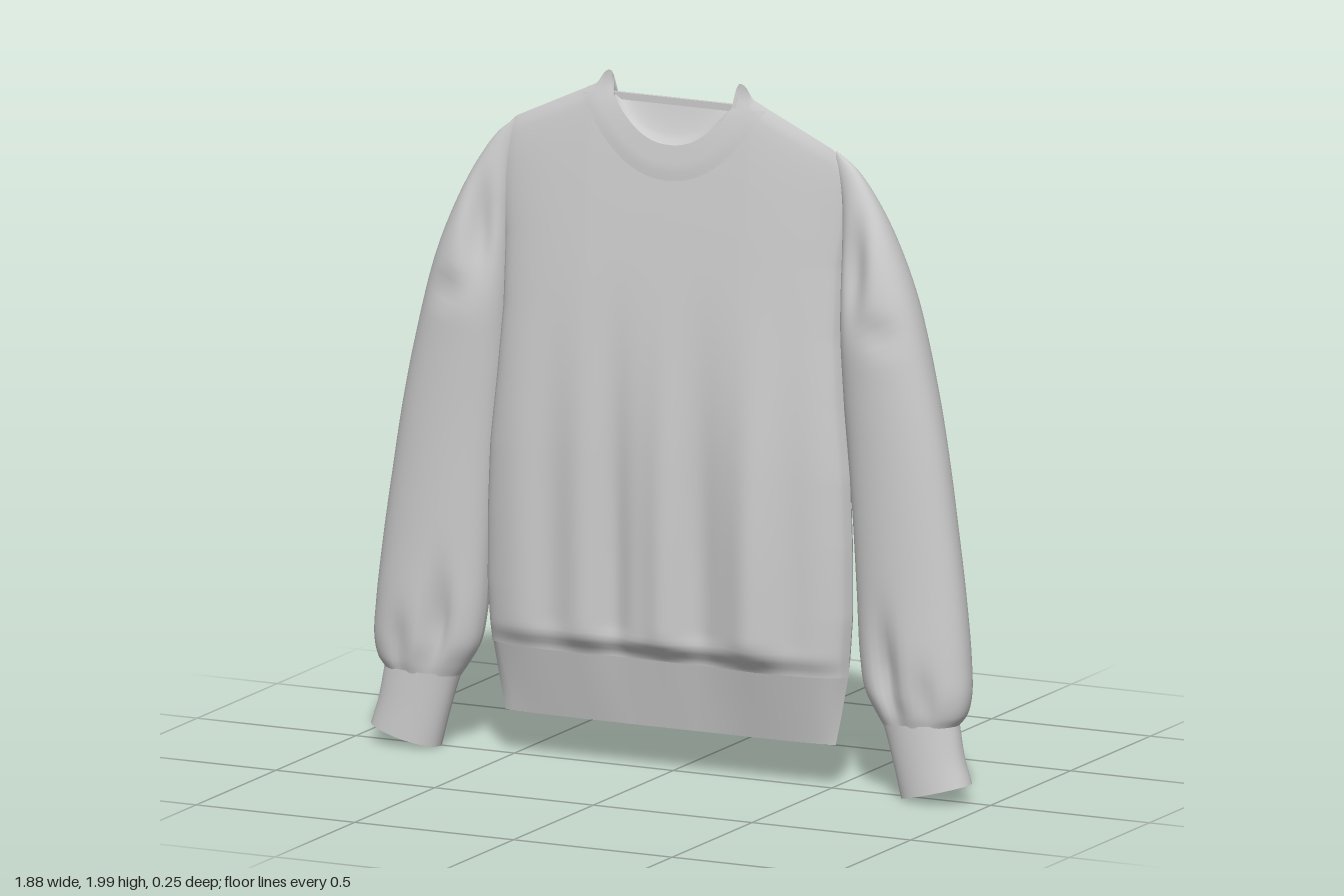
import * as THREE from 'three';

const material = new THREE.MeshStandardMaterial({ color: 0xcccccc, side: THREE.DoubleSide });
const clamp = THREE.MathUtils.clamp, lerp = THREE.MathUtils.lerp, smooth = THREE.MathUtils.smoothstep;
const bump = (t, centre, width) => Math.exp(-(((t - centre) / width) ** 2));

// Value read from a short table of [key, value] pairs
function table(rows, t) {
  if (t <= rows[0][0]) return rows[0][1];
  for (let i = 1; i < rows.length; i++) {
    const [a, va] = rows[i - 1], [b, vb] = rows[i];
    if (t <= b) return lerp(va, vb, (t - a) / (b - a));
  }
  return rows[rows.length - 1][1];
}

// Smooth sheet of nu x nv cells from point(u, v), both 0..1
function sheet(name, nu, nv, point, flip = false) {
  const pos = [], index = [];
  for (let j = 0; j <= nv; j++)
    for (let i = 0; i <= nu; i++) pos.push(...point(i / nu, j / nv));
  for (let j = 0; j < nv; j++)
    for (let i = 0; i < nu; i++) {
      const a = j * (nu + 1) + i, b = a + 1, c = a + nu + 1, d = c + 1;
      if (flip) index.push(a, d, b, a, c, d);
      else index.push(a, b, d, a, d, c);
    }
  const geometry = new THREE.BufferGeometry();
  geometry.setAttribute('position', new THREE.Float32BufferAttribute(pos, 3));
  geometry.setIndex(index);
  geometry.computeVertexNormals();
  const mesh = new THREE.Mesh(geometry, material);
  mesh.name = name;
  return mesh;
}

// Outline of the body
const WAIST = 0.33, BOTTOM = 0.13, SHIFT = -0.008, SHOULDER = 0.562;
const widths = [[0.13, 0.52], [0.2, 0.535], [0.33, 0.56], [0.5, 0.572], [0.7, 0.572], [0.9, 0.565],
  [1.1, 0.545], [1.3, 0.53], [1.5, 0.53], [1.65, 0.545], [1.77, SHOULDER]];
const shoulders = [[0, 1.96], [0.25, 1.955], [0.3, 1.932], [0.4, 1.885], [0.5, 1.838], [SHOULDER, 1.775]];
const horns = [[0.185, 1.93], [0.19, 1.98], [0.2, 1.998], [0.212, 2], [0.224, 1.99], [0.245, 1.958], [0.28, 1.942]];
const halfWidth = (y) => table(widths, y);

function topEdge(x, side) {
  const ax = Math.abs(x);
  if (ax > 0.28) return table(shoulders, ax);
  if (ax > 0.185) return table(horns, ax);
  return side > 0 ? 1.81 + 0.12 * (ax / 0.185) ** 2.2 : 1.935;
}

// Vertical folds of each panel as [x, width, height]
const folds = {
  1: [[-0.45, 0.07, 0.008], [-0.34, 0.06, -0.014], [-0.24, 0.05, 0.008], [-0.14, 0.05, -0.026], [0.02, 0.05, 0.016],
    [0.13, 0.06, -0.024], [0.3, 0.07, 0.034], [0.42, 0.06, -0.008]],
  [-1]: [[-0.36, 0.08, 0.014], [-0.24, 0.06, -0.014], [-0.1, 0.06, 0.012], [0.05, 0.07, -0.02],
    [0.17, 0.07, 0.024], [0.33, 0.07, -0.014]],
};

function panelZ(x, y, side) {
  const u = clamp(Math.abs(x) / halfWidth(y), 0, 1);
  // Thin at the shoulders, slowly widening towards the waist
  const t = clamp((table(shoulders, Math.abs(x)) - y) / 1.3, 0, 1);
  const drop = Math.sin(t * Math.PI / 2) ** 0.55;
  const fade = smooth(y, WAIST - 0.03, WAIST + 0.1) * (1 - smooth(y, 0.55, 1.5));
  const wave = folds[side].reduce((sum, [c, w, h]) => sum + h * bump(x, c, w), 0) * fade;
  // The overhang above the hem is strongest in the middle
  const tuck = (0.022 + 0.02 * bump(x, 0, 0.3)) * (1 - smooth(y, WAIST, WAIST + 0.06));
  const puff = side > 0 ? 0.096 : 0.082;
  const seam = -0.028 * smooth(y, 0.9, 1.9);
  return seam + side * (puff * drop + wave - tuck) * Math.sqrt(1 - u ** 5);
}

function addBody(group) {
  for (const side of [1, -1]) {
    const label = side > 0 ? 'front' : 'back';
    group.add(sheet(label + 'Panel', 140, 80, (u, v) => {
      const s = u * 2 - 1;
      const y = lerp(WAIST, topEdge(s * SHOULDER, side), v ** 1.15);
      const x = s * halfWidth(y);
      return [x + SHIFT, y, panelZ(x, y, side)];
    }, side < 0));

    // Ribbed hem, tapering below the body
    group.add(sheet(label + 'Hem', 60, 8, (u, v) => {
      const s = u * 2 - 1, y = lerp(BOTTOM, WAIST, v);
      const bottomZ = side * 0.016 * Math.sqrt(1 - Math.abs(s) ** 5);
      return [s * halfWidth(y) + SHIFT, y, lerp(bottomZ, panelZ(s * 0.56, WAIST, side), v)];
    }, side < 0));

    // Collar band lying on the panel around the neckline
    const low = side > 0 ? 1.71 : 1.8;
    group.add(sheet(label + 'Collar', 60, 8, (u, v) => {
      const s = u * 2 - 1;
      const x = s * lerp(0.29, 0.185, v);
      const y = lerp(low + (1.93 - low) * Math.abs(s) ** 2.2, topEdge(s * 0.185, side), v);
      const lift = 0.004 * Math.min(1, v * 3) * (1 - s ** 4);
      return [x + SHIFT, y, panelZ(x, y, side) + side * lift];
    }, side < 0));
  }
  // Lining that closes the neck from the front scoop up to the back edge
  group.add(sheet('neckLining', 40, 8, (u, v) => {
    const x = (u * 2 - 1) * 0.185;
    const yFront = topEdge(x, 1), yBack = 1.93;
    return [x + SHIFT, lerp(yFront, yBack, v), lerp(panelZ(x, yFront, 1), panelZ(x, yBack, -1) + 0.004, v ** 0.6)];
  }));
  // Tape along the back of the neck
  const tape = new THREE.Mesh(new THREE.BoxGeometry(0.46, 0.02, 0.012), material);
  tape.name = 'neckTape';
  tape.position.set(SHIFT, 1.928, -0.032);
  group.add(tape);
}

// Sleeve sections: outer x, outer y, inner x, inner y, z centre, half depth
const sleeveRows = [
  [0.5, 1.838, 0.5, 1.8, -0.028, 0.004], [0.565, 1.787, 0.52, 1.7, -0.03, 0.026],
  [0.628, 1.7, 0.525, 1.58, -0.03, 0.056], [0.692, 1.575, 0.525, 1.45, -0.028, 0.086],
  [0.754, 1.415, 0.526, 1.32, -0.025, 0.1], [0.814, 1.18, 0.535, 1.15, -0.022, 0.098],
  [0.852, 0.99, 0.552, 0.97, -0.018, 0.095], [0.883, 0.79, 0.568, 0.78, -0.014, 0.094],
  [0.911, 0.59, 0.582, 0.58, -0.01, 0.095], [0.93, 0.41, 0.595, 0.4, -0.005, 0.097],
  [0.934, 0.31, 0.612, 0.31, 0, 0.091], [0.922, 0.255, 0.645, 0.25, 0.003, 0.079],
  [0.9, 0.225, 0.668, 0.215, 0.006, 0.067],
];
const cuffRows = [
  [0.9, 0.23, 0.668, 0.22, 0.006, 0.066], [0.905, 0.2, 0.682, 0.18, 0.007, 0.066],
  [0.918, 0.13, 0.708, 0.09, 0.009, 0.067], [0.94, 0.06, 0.73, 0.005, 0.01, 0.07],
];

// Tube through the sections, mirrored by the sign of x
function sleeveTube(name, rows, sign, steps, dentAt) {
  const spline = (k) => new THREE.CatmullRomCurve3(rows.map((r) => new THREE.Vector3(...r.slice(k, k + 2), r[4 + k / 2])));
  const outer = spline(0), inner = spline(2);
  return sheet(name, 48, steps, (u, v) => {
    const o = outer.getPoint(v), i = inner.getPoint(v);
    const angle = Math.PI * (1 + 2 * u), c = Math.cos(angle), s = Math.sin(angle);
    const x = lerp(i.x, o.x, (c + 1) / 2), y = lerp(i.y, o.y, (c + 1) / 2);
    const round = Math.sign(s) * Math.abs(s) ** 0.9;
    return [sign * x, y, o.z + i.z * round * (1 - dentAt(x, y, c))];
  }, sign < 0);
}

// Gathers above the cuff, armhole crease and elbow wrinkle
const sleeveDent = (x, y, c) => 0.4 * bump(y, 0.36, 0.14) * bump(c, -0.35, 0.2)
  + 0.18 * bump(y, 0.3, 0.08) * bump(c, 0.35, 0.18)
  + 0.4 * bump(y, 1.52, 0.14) * bump(x, 0.59, 0.04)
  + 0.12 * bump(y, 1.34, 0.04) * bump(c, 0.3, 0.5);

export function createModel() {
  const group = new THREE.Group();
  group.name = 'sweater';
  addBody(group);
  for (const [label, sign] of [['left', 1], ['right', -1]]) {
    group.add(sleeveTube(label + 'Sleeve', sleeveRows, sign, 80, sleeveDent));
    group.add(sleeveTube(label + 'Cuff', cuffRows, sign, 10, () => 0));
  }
  return group;
}
